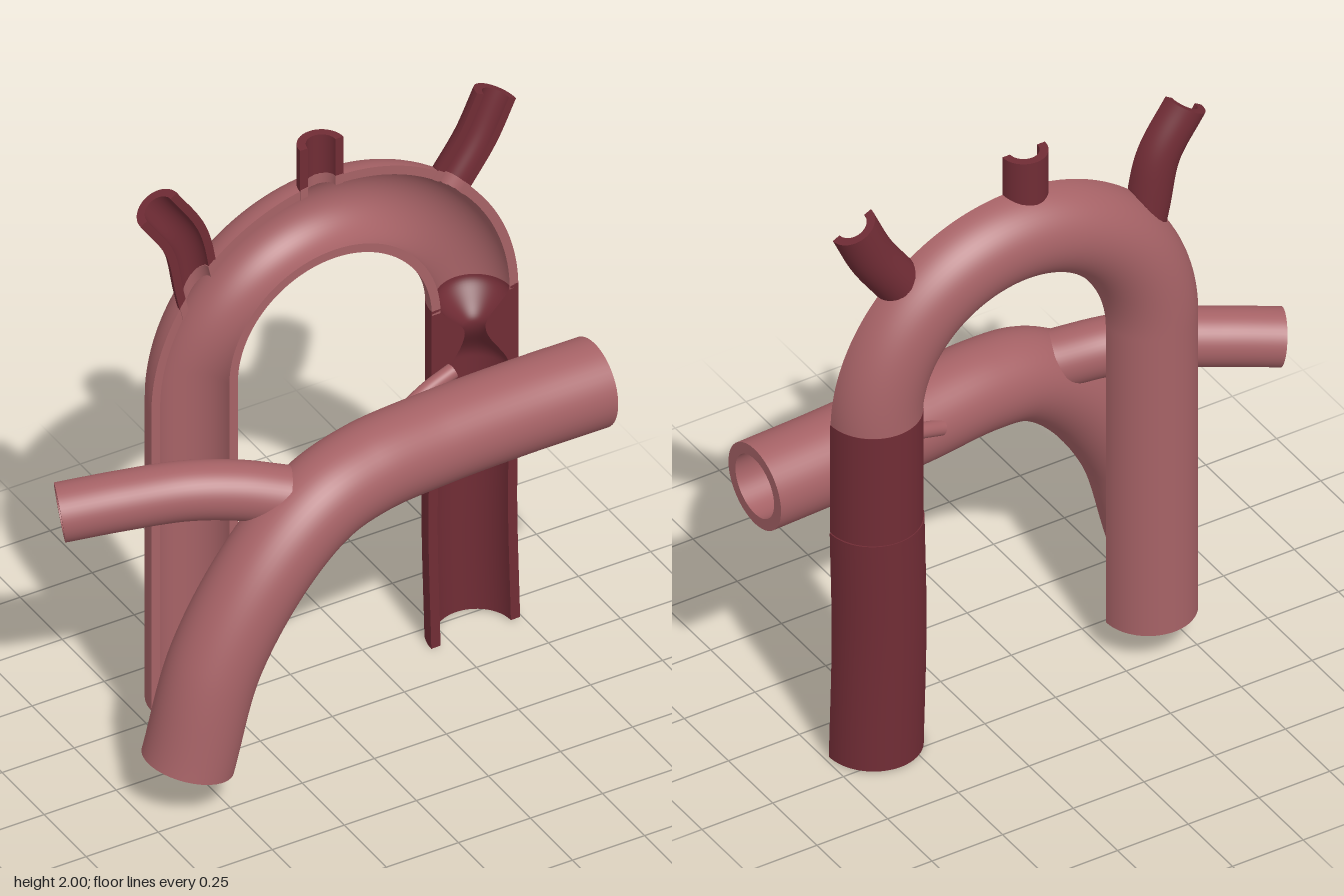
import * as THREE from 'three';

const V = (x, y, z) => new THREE.Vector3(x, y, z);
const spline = (pts) => new THREE.CatmullRomCurve3(pts.map((p) => V(...p)));
const CUT = -0.15; // plane on which the sectioned vessels are sliced open
const ARCH = { x: 0.0965, y: 1.225, R: 0.4865, out: 0.15, inn: 0.12 };

const rose = new THREE.MeshStandardMaterial({ color: 0xa66266, side: THREE.DoubleSide });
rose.name = 'rose vessel';
const maroon = new THREE.MeshStandardMaterial({ color: 0x702c35, side: THREE.DoubleSide });
maroon.name = 'dark red vessel';

// Distance of a point from the centre line of the arch
const archDist = (p) =>
  Math.hypot(Math.hypot(p.x - ARCH.x, p.y - ARCH.y) - ARCH.R, p.z - CUT);

// Slide a point along dir until it is outside radius r of the arch
function slideOut(p, dir, r, start) {
  p.addScaledVector(dir, start);
  for (let k = 0; k < 150 && archDist(p) < r; k++) p.addScaledVector(dir, 0.002);
}

// Thick-walled tube along a curve; half = only the rear half, with flat cut rims
function vessel(name, material, curve, o) {
  const { rings = 60, out, inn, half = false, trim, skip } = o;
  const n = half ? 32 : 48;
  const innerAt = typeof inn === 'function' ? inn : () => inn;
  const P = [], Q = [];
  for (let i = 0; i <= rings; i++) {
    const u = i / rings;
    const c = curve.getPointAt(u), t = curve.getTangentAt(u);
    const side = V(0, 0, 1).cross(t).normalize();
    const up = t.clone().cross(side);
    const ring = (r) => Array.from({ length: n + 1 }, (_, j) => {
      const a = half ? Math.PI * (1 + j / n) : (2 * Math.PI * j) / n;
      const p = c.clone().addScaledVector(side, r * Math.cos(a)).addScaledVector(up, r * Math.sin(a));
      if (trim) trim(p, i);
      return p;
    });
    P.push(ring(out));
    Q.push(ring(innerAt(u)));
  }

  const pos = [], index = [];
  const grid = (rows, closed) => {
    const base = pos.length / 3, w = rows[0].length;
    rows.forEach((row) => row.forEach((p) => pos.push(p.x, p.y, p.z)));
    const id = (i, j) => base + i * w + (closed ? j % (w - 1) : j);
    for (let i = 0; i < rows.length - 1; i++) {
      for (let j = 0; j < w - 1; j++) {
        const mid = rows[i][j].clone().add(rows[i + 1][j + 1]).multiplyScalar(0.5);
        if (skip && skip(mid)) continue;
        const a = id(i, j), b = id(i, j + 1), c = id(i + 1, j + 1), d = id(i + 1, j);
        index.push(a, b, c, a, c, d);
      }
    }
  };
  grid(P, !half);                                  // outer wall
  grid(Q.map((r) => [...r].reverse()), !half);     // bore
  grid([Q[0], P[0]], !half);                       // end faces
  grid([P[rings], Q[rings]], !half);
  if (half) {                                      // cut rims
    grid(P.map((r, i) => [r[n], Q[i][n]]));
    grid(P.map((r, i) => [Q[i][0], r[0]]));
  }
  const g = new THREE.BufferGeometry();
  g.setAttribute('position', new THREE.Float32BufferAttribute(pos, 3));
  g.setIndex(index);
  g.computeVertexNormals();
  const mesh = new THREE.Mesh(g, material);
  mesh.name = name;
  return mesh;
}

export function createModel() {
  const model = new THREE.Group();
  model.name = 'sectionedVessels';

  // Three vessels rising from the arch, each from its base on the arch wall
  const branches = [
    ['rightArchBranch', [[-0.38, 1.63, CUT], [-0.42, 1.81, CUT], [-0.515, 1.96, CUT]]],
    ['middleArchBranch', [[0.05, 1.84, CUT], [0.05, 1.92, CUT], [0.05, 2, CUT]]],
    ['leftArchBranch', [[0.5, 1.69, CUT], [0.59, 1.82, CUT], [0.657, 1.957, CUT]]],
  ].map(([name, pts]) => {
    const curve = spline(pts);
    return { name, curve, base: curve.getPointAt(0), dir: curve.getTangentAt(0) };
  });

  // Openings of the branches through the arch wall
  const inOpening = (p) => branches.some(({ base, dir }) => {
    const v = p.clone().sub(base), along = v.dot(dir);
    return Math.abs(along) < 0.15 && v.addScaledVector(dir, -along).length() < 0.058;
  });

  // Arch with its long straight leg
  const legX = ARCH.x - ARCH.R;
  const flat = new THREE.Path();
  flat.moveTo(legX, 0.12);
  flat.lineTo(legX, ARCH.y);
  flat.absarc(ARCH.x, ARCH.y, ARCH.R, Math.PI, 0, true);
  const archCurve = {
    getPointAt: (u) => { const p = flat.getPointAt(u); return V(p.x, p.y, CUT); },
    getTangentAt: (u) => { const t = flat.getTangentAt(u); return V(t.x, t.y, 0); },
  };
  model.add(vessel('arch', rose, archCurve, {
    rings: 200, out: ARCH.out, inn: ARCH.inn, half: true, skip: inOpening,
  }));

  // Branches and the collars lining their openings
  for (const { name, curve, base, dir } of branches) {
    const branch = vessel(name, maroon, curve, {
      rings: 30, out: 0.075, inn: 0.048, half: true,
      trim: (p, i) => slideOut(p, dir, ARCH.out, i ? 0 : -0.15),
    });
    branch.position.z = 0.001;
    const stub = new THREE.LineCurve3(base, base.clone().addScaledVector(dir, 0.01));
    const collar = vessel(name + 'Collar', rose, stub, {
      rings: 1, out: 0.073, inn: 0.048, half: true,
      trim: (p, i) => slideOut(p, dir, i ? 0.152 : 0.118, -0.15),
    });
    collar.position.z = 0.002;
    model.add(branch, collar);
  }

  // Narrowed segment and the descending leg below it
  const rightX = ARCH.x + ARCH.R, joint = 0.84, top = 1.24, neck = 1.12;
  model.add(vessel('narrowedSegment', maroon,
    new THREE.LineCurve3(V(rightX, joint, CUT), V(rightX, top, CUT)), {
      out: 0.151, half: true,
      inn: (u) => {
        const d = joint + (top - joint) * u - neck;
        return 0.036 + 0.083 * THREE.MathUtils.smoothstep(Math.abs(d), 0, d > 0 ? 0.12 : 0.18);
      },
    }));
  model.add(vessel('descendingLeg', maroon,
    spline([[0.585, 0, CUT], [0.575, 0.45, CUT], [0.582, joint, CUT]]),
    { out: 0.154, inn: 0.122, half: true }));

  // Whole trunk crossing in front
  model.add(vessel('frontTrunk', rose, spline([
    [-0.598, 0.152, 0.165], [-0.5, 0.49, 0.165], [-0.32, 0.765, 0.155], [-0.13, 0.915, 0.132],
    [0.05, 0.957, 0.105], [0.3, 0.957, 0.075], [0.6, 0.95, 0.055], [0.877, 0.943, 0.048],
  ]), { rings: 120, out: 0.143, inn: 0.105 }));

  // Side branch of the trunk
  model.add(vessel('trunkSideBranch', rose, spline([
    [-0.22, 0.955, 0.1], [-0.35, 0.985, 0.042], [-0.5, 0.998, -0.02],
    [-0.68, 0.98, -0.095], [-0.85, 0.955, -0.165],
  ]), { out: 0.092, inn: 0.066 }));

  // Thin cord between trunk and narrowed segment
  model.add(vessel('connectingCord', rose,
    spline([[0.28, 0.99, -0.05], [0.37, 1.025, -0.07], [0.465, 1.052, -0.083]]),
    { rings: 16, out: 0.025, inn: 0.012 }));

  return model;
}
